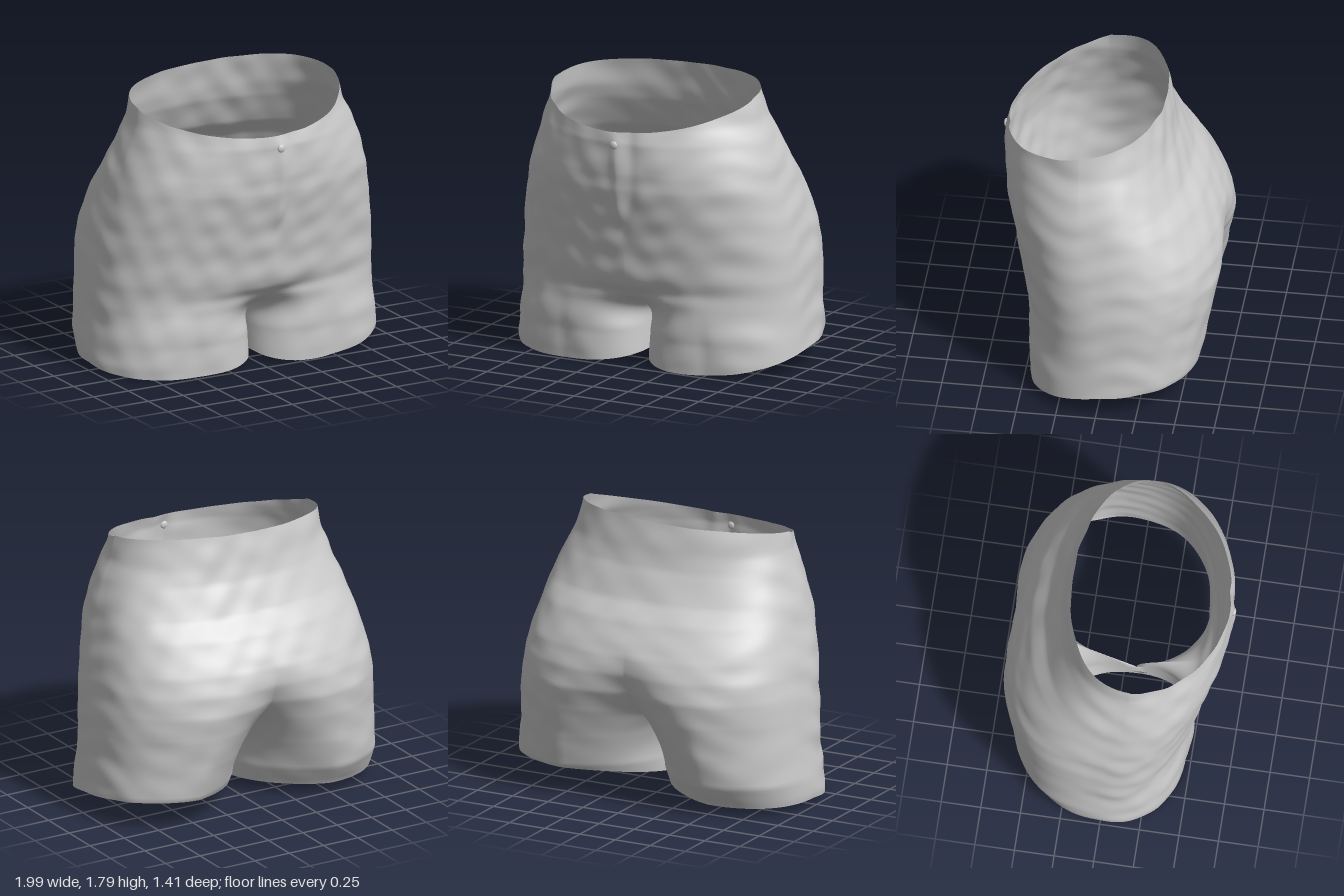
import * as THREE from 'three';
import { mergeVertices } from 'three/addons/utils/BufferGeometryUtils.js';

const { lerp, clamp, smoothstep } = THREE.MathUtils;

// Profile levels: height, half width, front z, back z
const LEVELS = [
  [0.00, 0.985, 0.465, -0.47],
  [0.08, 0.995, 0.47, -0.51],
  [0.20, 0.99, 0.475, -0.59],
  [0.40, 0.97, 0.515, -0.66],
  [0.60, 0.96, 0.565, -0.715],
  [0.75, 0.945, 0.59, -0.74],
  [0.88, 0.93, 0.615, -0.725],
  [1.00, 0.905, 0.64, -0.685],
  [1.20, 0.86, 0.68, -0.565],
  [1.30, 0.835, 0.69, -0.475],
  [1.50, 0.77, 0.69, -0.38],
  [1.60, 0.73, 0.67, -0.355],
  [1.80, 0.685, 0.65, -0.31],
];
const CROTCH = 0.2;

function profile(y) {
  let i = 0;
  while (i < LEVELS.length - 2 && LEVELS[i + 1][0] < y) i++;
  const a = LEVELS[i], b = LEVELS[i + 1];
  const t = clamp((y - a[0]) / (b[0] - a[0]), 0, 1);
  return [1, 2, 3].map((n) => lerp(a[n], b[n], t));
}

const bump = (v, centre, width) => Math.exp(-(((v - centre) / width) ** 2));
const spow = (v, e) => Math.sign(v) * Math.abs(v) ** e;

// Soft cloth folds, as an outward offset
function folds(x, y, z, s) {
  const front = smoothstep(z, 0.1, 0.4), ax = Math.abs(x);
  let d = 0.003 * Math.sin(19 * y + 4 * x + 3 * Math.sin(5 * x + 4 * z)) * Math.sin(6 * x - 5 * z + 3 * y);
  d += 0.003 * Math.sin(33 * y - 8 * x + 2 * Math.sin(9 * z)) * Math.sin(9 * x + 4 * z);
  d += 0.002 * Math.sin(27 * x + 15 * y + 17 * z);
  // Crease across the top of the legs
  d -= 0.025 * front * bump(y, 0.5 + 0.03 * s * ax, 0.04) * bump(x, 0, 0.42);
  d += 0.01 * front * bump(y, 0.62, 0.07) * bump(x, 0, 0.5);
  // Fly placket and its stitched edge
  d += 0.012 * front * bump(x, 0, 0.045) * smoothstep(y, 0.9, 1.1) * (1 - smoothstep(y, 1.5, 1.6));
  d -= 0.008 * front * bump(x, 0.1 * smoothstep(y, 0.85, 1.2), 0.04) * smoothstep(y, 0.8, 1.0);
  return d;
}

// Point on one half: a runs from centre front (0) round the side to centre back (PI)
function surfacePoint(s, t, a) {
  const c = Math.cos(a), sn = Math.max(0, Math.sin(a));
  const around = Math.sin(2 * a), outer = sn * sn;
  const depth = c * Math.sqrt(1 + outer);

  // Sloping waist rim and hem, which meets its own ends at the inner thigh
  const rim = 1.73 - 0.107 * depth - 0.053 * depth * depth + 0.02 * s * outer;
  const hem = s > 0
    ? 0.08 - 0.105 * Math.max(0, around) + 0.065 * Math.max(0, -around) + 0.07 * outer
    : 0.08 - 0.06 * Math.max(0, around) - 0.03 * outer;
  const y = hem + (1.73 - hem) * t + (rim - 1.73) * t ** 4;
  const [w, zf, zb] = profile(y);

  // The back divides higher up than the front
  const kf = 1 - smoothstep(y, CROTCH, 0.54);
  const kb = clamp((1.1 - y) / (1.1 - CROTCH), 0, 1) ** 2;
  const k = lerp(kf, kb, (1 - c) / 2);

  // Body section
  const zm = lerp(0, 0.14, smoothstep(y, 0.6, 1.7));
  const frontPower = lerp(0.85, 1.3, smoothstep(y, 1.1, 1.75));
  const backPower = lerp(0.65, 0.8, smoothstep(y, 1.2, 1.75));
  const bodyZ = zm + (c > 0 ? (zf - zm) * spow(depth, frontPower) : (zm - zb) * spow(depth, backPower));

  // Leg section, with a softer cleft where the legs have only begun to divide
  const legPower = lerp(c > 0 ? 0.85 : 0.7, 0.9, outer) + 2 * (1 - k) * (1 - outer);
  const legZ = (zf + zb) / 2 + (zf - zb) / 2 * spow(around, legPower) + 0.14 * Math.max(0, Math.cos(2 * a));

  // Both sections share x, so only z is blended
  const x = w * outer, z = lerp(bodyZ, legZ, k);
  const d = folds(s * x, y, z, s) * (1 - k + k * sn);
  return [s * (x + d * outer) - 0.02 * smoothstep(y, 1.4, 1.75), y, z + d * c];
}

function shortsGeometry(rows = 90, cols = 96) {
  const positions = [], index = [];
  for (const s of [1, -1]) {
    const base = positions.length / 3;
    for (let i = 0; i <= rows; i++) {
      for (let j = 0; j <= cols; j++) {
        positions.push(...surfacePoint(s, i / rows, Math.PI * j / cols));
      }
    }
    for (let i = 0; i < rows; i++) {
      for (let j = 0; j < cols; j++) {
        const p = base + i * (cols + 1) + j, q = p + cols + 1;
        if (s > 0) index.push(p, p + 1, q + 1, p, q + 1, q);
        else index.push(p, q + 1, p + 1, p, q, q + 1);
      }
    }
  }
  const g = new THREE.BufferGeometry();
  g.setAttribute('position', new THREE.Float32BufferAttribute(positions, 3));
  g.setIndex(index);
  const merged = mergeVertices(g, 1e-4);
  merged.computeVertexNormals();
  return merged;
}

export function createModel() {
  const group = new THREE.Group();
  group.name = 'shorts';
  const cloth = new THREE.MeshStandardMaterial({ color: 0xcccccc, side: THREE.DoubleSide });

  // Waist, seat and both legs in one continuous cloth surface
  const body = new THREE.Mesh(shortsGeometry(), cloth);
  body.name = 'shortsCloth';
  group.add(body);

  // Fly button
  const button = new THREE.Mesh(new THREE.SphereGeometry(0.026, 16, 10), cloth);
  button.name = 'flyButton';
  button.scale.set(1, 1, 0.5);
  button.position.set(-0.015, 1.49, 0.7);
  group.add(button);

  return group;
}
